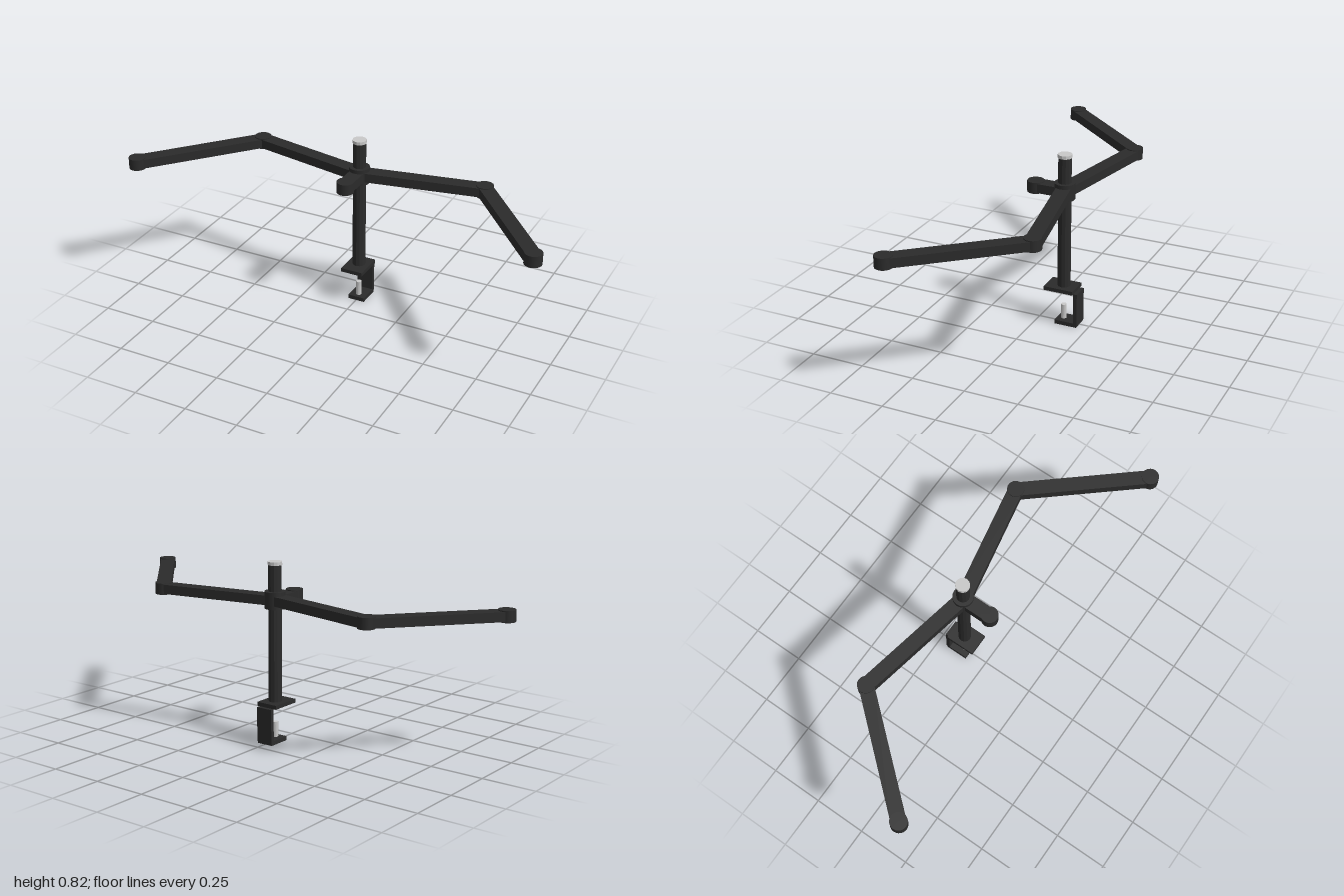
import * as THREE from 'three';

export function createModel() {
  const black = new THREE.MeshStandardMaterial({ name: 'black metal', color: 0x2b2b2b });
  const blackFlat = new THREE.MeshStandardMaterial({ name: 'black metal', color: 0x2b2b2b, flatShading: true });
  const steel = new THREE.MeshStandardMaterial({ name: 'bright steel', color: 0xc8c8c8, flatShading: true });
  const model = new THREE.Group();
  model.name = 'deskArmStand';

  const POLE_Z = -0.122, ARM_Y = 0.651;

  function add(name, geometry, material, x, y, z) {
    const mesh = new THREE.Mesh(geometry, material);
    mesh.name = name;
    mesh.position.set(x, y, z);
    model.add(mesh);
    return mesh;
  }
  // Upright cylinder between two heights
  function post(name, r, y0, y1, x, z, material, sides) {
    return add(name, new THREE.CylinderGeometry(r, r, y1 - y0, sides), material, x, (y0 + y1) / 2, z);
  }
  // Box given by half width, y range and z range
  function plate(name, halfX, y0, y1, z0, z1) {
    return add(name, new THREE.BoxGeometry(halfX * 2, y1 - y0, z1 - z0), black, 0, (y0 + y1) / 2, (z0 + z1) / 2);
  }
  // Horizontal bar from one [x, z] point to another
  function bar(name, a, b) {
    const dx = b[0] - a[0], dz = b[1] - a[1];
    const mesh = add(name, new THREE.BoxGeometry(0.067, 0.043, Math.hypot(dx, dz)), black,
      (a[0] + b[0]) / 2, ARM_Y, (a[1] + b[1]) / 2);
    mesh.rotation.y = Math.atan2(dx, dz);
  }
  function joint(name, p) {
    post(name, 0.039, ARM_Y - 0.026, ARM_Y + 0.026, p[0], p[1], black, 24);
  }

  // Desk clamp
  plate('clampTopPlate', 0.053, 0.168, 0.186, -0.185, -0.043);
  plate('clampBack', 0.04, 0.01, 0.168, -0.203, -0.185);
  plate('clampLowerJaw', 0.04, 0, 0.019, -0.2, -0.092);
  post('clampScrew', 0.013, 0.019, 0.089, 0, POLE_Z, steel, 16);

  // Pole, its cap and the arm collar
  post('pole', 0.03, 0.186, 0.81, 0, POLE_Z, blackFlat, 12);
  post('poleCap', 0.0325, 0.808, 0.823, 0, POLE_Z, steel, 12);
  post('collar', 0.047, 0.613, 0.69, 0, POLE_Z, black, 24);

  // Short centre arm
  bar('centreArm', [0, POLE_Z], [0, 0.019]);
  joint('centreJoint', [0, 0.019]);

  // Mirrored two-part side arms
  for (const [side, s] of [['left', 1], ['right', -1]]) {
    const elbow = [s * 0.563, -0.231], tip = [s * 0.961, 0.232];
    bar(side + 'InnerArm', [0, POLE_Z], elbow);
    joint(side + 'Elbow', elbow);
    bar(side + 'OuterArm', elbow, tip);
    joint(side + 'EndJoint', tip);
  }
  return model;
}
